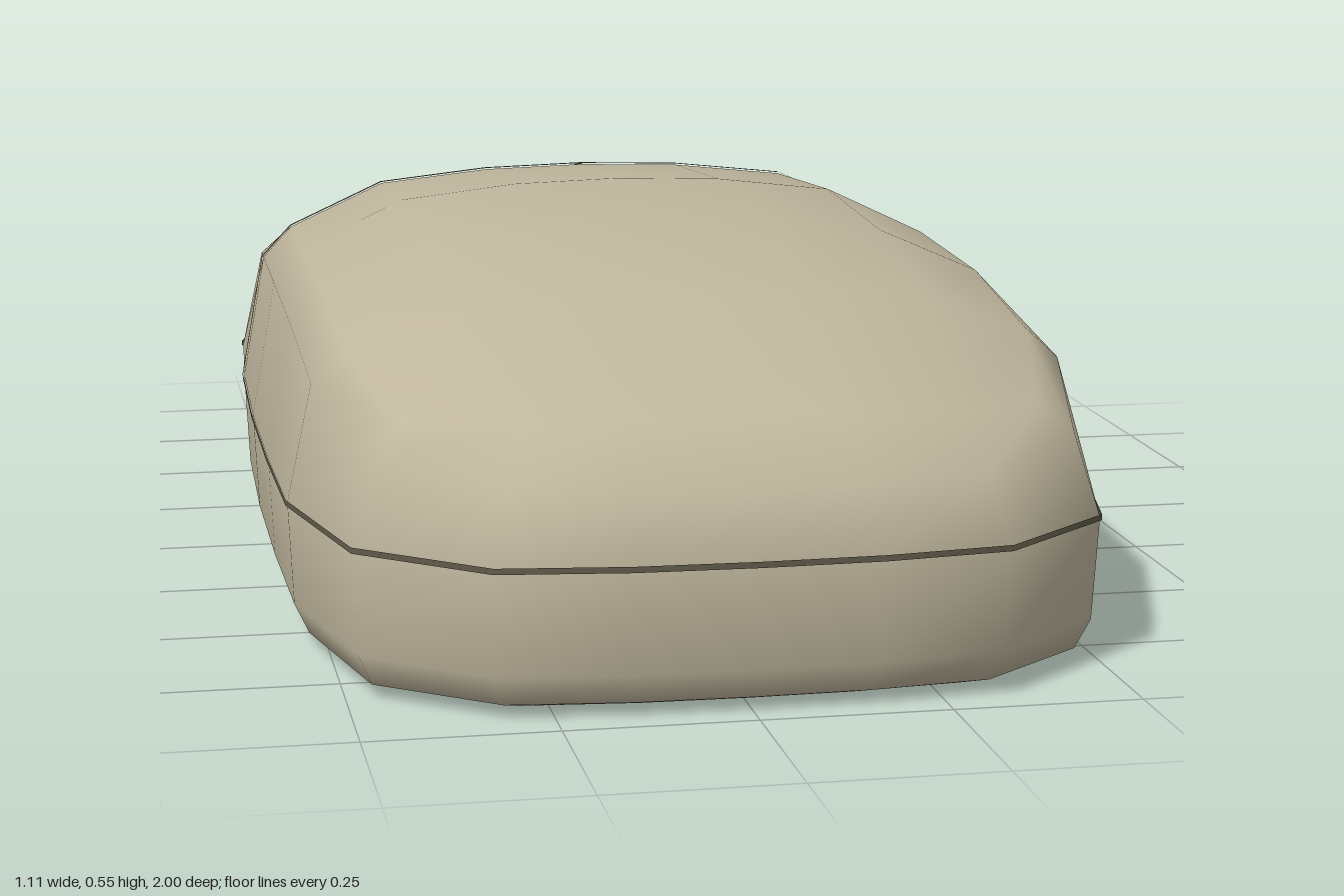
import * as THREE from 'three';

const shellMat = new THREE.MeshStandardMaterial({ name: 'warm beige', color: 0xbeb59c });
const seamMat = new THREE.MeshStandardMaterial({ name: 'dark seam', color: 0x5c5747, side: THREE.DoubleSide });

// Plan outline: sides run front to back, ends run outwards from the middle.
const sideX = [0.49, 0.55, 0.555, 0.555, 0.547, 0.53, 0.46];
const sideZ = [0.84, 0.57, 0.3, 0, -0.31, -0.58, -0.85];
const frontEnd = [[0, 1], [0.16, 0.996], [0.33, 0.975]];
const backEnd = [[0, -1], [0.15, -0.996], [0.32, -0.98]];

// Crown height along the length.
const crown = [[-1, 0.33], [-0.88, 0.355], [-0.6, 0.46], [-0.31, 0.527], [0, 0.545],
  [0.3, 0.53], [0.6, 0.47], [0.89, 0.36], [1, 0.34]];
function crownAt(z) {
  let i = 1;
  while (i < crown.length - 1 && z > crown[i][0]) i++;
  const [a, b] = [crown[i - 1], crown[i]];
  return a[1] + (b[1] - a[1]) * (z - a[0]) / (b[0] - a[0]);
}

// The 24 outline points, counterclockwise from above, starting front left.
function outline() {
  const pts = sideX.map((x, r) => [x, sideZ[r]]);
  for (const i of [2, 1, 0, -1, -2]) pts.push([Math.sign(i) * backEnd[Math.abs(i)][0], backEnd[Math.abs(i)][1]]);
  for (let r = 6; r >= 0; r--) pts.push([-sideX[r], sideZ[r]]);
  for (const i of [-2, -1, 0, 1, 2]) pts.push([Math.sign(i) * frontEnd[Math.abs(i)][0], frontEnd[Math.abs(i)][1]]);
  return pts;
}

// One ring round the body, pulled in by dx and dz; y is a rule of z.
function ring(dx, dz, y) {
  return outline().map(([x, z]) => {
    const zz = z - Math.sign(z) * dz * z ** 4;
    return new THREE.Vector3(x * (1 - dx / 0.555), y(zz), zz);
  });
}

// Thin seam line laid over the surface along a path.
function seam(name, path, side, half = 0.005) {
  const pos = [], nor = [], idx = [];
  path.forEach(({ p, n }, i) => {
    for (const s of [-half, half]) {
      const v = p.clone().addScaledVector(n, 0.0025).addScaledVector(side, s);
      pos.push(v.x, v.y, v.z);
      nor.push(n.x, n.y, n.z);
    }
    if (i) idx.push(2 * i - 2, 2 * i - 1, 2 * i + 1, 2 * i - 2, 2 * i + 1, 2 * i);
  });
  const g = new THREE.BufferGeometry();
  g.setAttribute('position', new THREE.Float32BufferAttribute(pos, 3));
  g.setAttribute('normal', new THREE.Float32BufferAttribute(nor, 3));
  g.setIndex(idx);
  const m = new THREE.Mesh(g, seamMat);
  m.name = name;
  return m;
}

export function createModel() {
  const group = new THREE.Group();
  group.name = 'computerMouse';

  // Rings from the underside up to the shoulder.
  const rings = [
    ring(0.07, 0.08, () => 0.005),
    ring(0.027, 0.04, () => 0.018),
    ring(0.007, 0.015, () => 0.06),
    ring(0, 0, () => 0.2),
    ring(0.035, 0.04, z => 0.2 + 0.58 * (crownAt(z) - 0.2)),
  ];
  const verts = [new THREE.Vector3(0, 0, 0), ...rings.flat()];
  const ringAt = (level, k) => 1 + level * 24 + k % 24;

  // Domed top as a 7 by 7 grid.
  const across = [0, 0.33, 0.69, 1], drop = [0, 0.005, 0.025, 0.095];
  const rim = ring(0.08, 0.11, () => 0);
  const rimIndex = (r, c) => c === 6 ? r : c === 0 ? 18 - r : r === 6 ? 12 - c : 18 + c;
  const gridStart = verts.length;
  const gridAt = (r, c) => gridStart + r * 7 + c;
  for (let r = 0; r < 7; r++) {
    for (let c = 0; c < 7; c++) {
      const i = Math.abs(c - 3), edge = r % 6 === 0 || c % 6 === 0;
      const f = across[i];
      const p = edge ? rim[rimIndex(r, c)].clone()
        : new THREE.Vector3(Math.sign(c - 3) * f * rim[r].x, 0, rim[r].z + (1 - f * f) * 0.02 * (3 - r));
      const h = crownAt(p.z);
      p.y = h - drop[i] * (h - 0.2) / 0.345;
      verts.push(p);
    }
  }

  // Faces.
  const idx = [];
  const quad = (a, b, c, d) => idx.push(a, b, c, a, c, d);
  for (let k = 0; k < 24; k++) {
    idx.push(0, ringAt(0, k + 1), ringAt(0, k));
    for (let l = 0; l < 4; l++) quad(ringAt(l, k), ringAt(l, k + 1), ringAt(l + 1, k + 1), ringAt(l + 1, k));
  }
  const border = [];
  for (let r = 0; r < 7; r++) for (let c = 0; c < 7; c++) {
    if (r % 6 === 0 || c % 6 === 0) border[rimIndex(r, c)] = gridAt(r, c);
    if (r < 6 && c < 6) quad(gridAt(r, c), gridAt(r, c + 1), gridAt(r + 1, c + 1), gridAt(r + 1, c));
  }
  for (let k = 0; k < 24; k++) quad(ringAt(4, k), ringAt(4, k + 1), border[(k + 1) % 24], border[k]);

  const body = new THREE.BufferGeometry().setFromPoints(verts);
  body.setIndex(idx);
  body.computeVertexNormals();

  // Split the body into panels that share their smooth normals.
  const panels = { base: [], palmShell: [], leftButton: [], rightButton: [] };
  for (let t = 0; t < idx.length; t += 3) {
    const tri = idx.slice(t, t + 3), v = tri.map(i => verts[i]);
    const mid = v[0].clone().add(v[1]).add(v[2]).divideScalar(3);
    const name = Math.max(...v.map(p => p.y)) < 0.201 ? 'base'
      : mid.z > -0.34 ? 'palmShell' : mid.x > 0 ? 'leftButton' : 'rightButton';
    panels[name].push(...tri);
  }
  for (const [name, tris] of Object.entries(panels)) {
    const g = body.clone();
    g.setIndex(tris);
    const mesh = new THREE.Mesh(g.toNonIndexed(), shellMat);
    mesh.name = name;
    group.add(mesh);
  }

  // Seams: round the waist, across the back of the buttons, between the buttons.
  const at = i => ({ p: verts[i], n: new THREE.Vector3().fromBufferAttribute(body.attributes.normal, i) });
  const waist = Array.from({ length: 25 }, (_, k) => at(ringAt(3, k)));
  const cross = [at(ringAt(3, 4)), at(ringAt(4, 4))];
  for (let c = 6; c >= 0; c--) cross.push(at(gridAt(4, c)));
  cross.push(at(ringAt(4, 14)), at(ringAt(3, 14)));
  const end = at(ringAt(3, 9)), low = at(ringAt(2, 9));
  const middle = [4, 5, 6].map(r => at(gridAt(r, 3)));
  middle.push(at(ringAt(4, 9)), end, { p: end.p.clone().lerp(low.p, 0.5), n: end.n });
  group.add(
    seam('waistSeam', waist, new THREE.Vector3(0, 1, 0), 0.004),
    seam('buttonCrossSeam', cross, new THREE.Vector3(0, 0, 1)),
    seam('buttonMiddleSeam', middle, new THREE.Vector3(1, 0, 0)),
  );
  return group;
}
